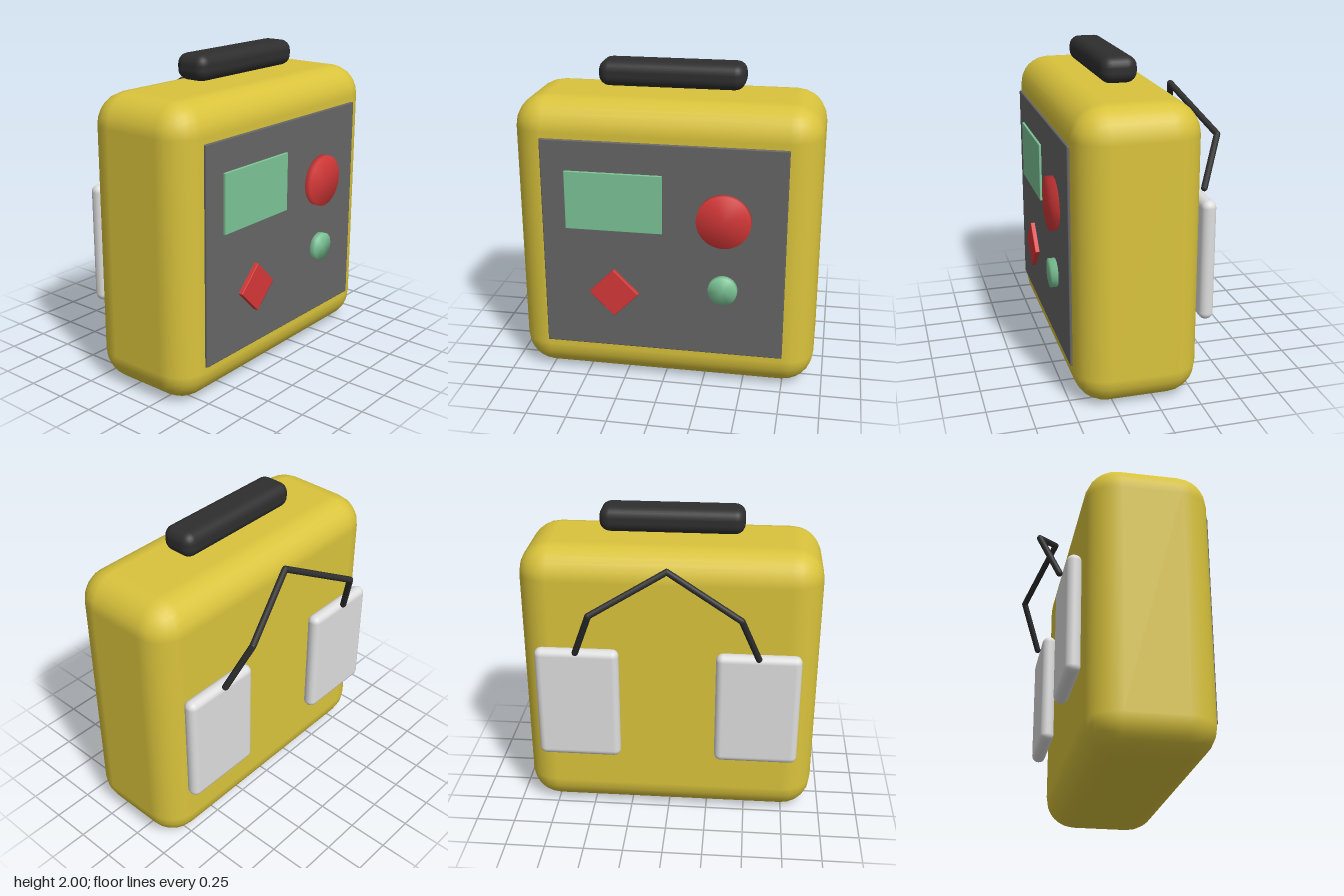
import * as THREE from 'three';
import { RoundedBoxGeometry } from 'three/addons/geometries/RoundedBoxGeometry.js';
import { mergeVertices } from 'three/addons/utils/BufferGeometryUtils.js';

const paint = (name, color) => {
  const m = new THREE.MeshStandardMaterial({ color });
  m.name = name;
  return m;
};

export function createModel() {
  const group = new THREE.Group();
  const yellow = paint('yellow', 0xd9c33c);
  const grey = paint('grey', 0x666666);
  const red = paint('red', 0xd63838);
  const green = paint('green', 0x7cc496);
  const black = paint('black', 0x2e2e2e);
  const white = paint('white', 0xdedede);

  const add = (name, geometry, material, x, y, z) => {
    const mesh = new THREE.Mesh(geometry, material);
    mesh.name = name;
    mesh.position.set(x, y, z);
    group.add(mesh);
    return mesh;
  };

  // Box given by its limits on each axis, with rounded edges
  const block = (name, material, [x0, x1], [y0, y1], [z0, z1], radius, segments) =>
    add(name, new RoundedBoxGeometry(x1 - x0, y1 - y0, z1 - z0, segments, radius),
      material, (x0 + x1) / 2, (y0 + y1) / 2, (z0 + z1) / 2);

  // Case and carrying handle
  block('case', yellow, [-0.94, 0.94], [0, 1.81], [-0.28, 0.475], 0.195, 3);
  block('handle', black, [-0.45, 0.45], [1.84, 2], [-0.015, 0.21], 0.065, 3);

  // Front panel with screen
  block('frontPanel', grey, [-0.75, 0.75], [0.23, 1.58], [0.44, 0.49], 0.007, 1);
  block('screen', green, [-0.6, 0], [1.02, 1.39], [0.47, 0.505], 0.004, 1);

  // Diamond button
  const diamond = block('diamondButton', red, [-0.414, -0.194], [0.499, 0.719], [0.47, 0.518], 0.004, 1);
  diamond.rotation.z = Math.PI / 4;

  // Round buttons: shared rim vertices give a soft, domed shading
  const button = (name, material, x, y, radius) => {
    const raw = new THREE.CylinderGeometry(radius, radius, 0.06, 40);
    raw.deleteAttribute('normal');
    raw.deleteAttribute('uv');
    const geometry = mergeVertices(raw);
    geometry.computeVertexNormals();
    geometry.rotateX(Math.PI / 2);
    add(name, geometry, material, x, y, 0.5);
  };
  button('largeButton', red, 0.375, 1.13, 0.165);
  button('smallButton', green, 0.375, 0.68, 0.09);

  // Two pads on the back
  for (const [side, s] of [['left', 1], ['right', -1]]) {
    block(`${side}Pad`, white, s > 0 ? [0.3, 0.825] : [-0.825, -0.3],
      [0.455, 1.205], [-0.385, -0.295], 0.043, 3);
  }

  // Cable joining the pads: straight runs with round joints
  const cable = new THREE.Group();
  cable.name = 'cable';
  group.add(cable);
  const points = [
    [-0.56, 1.205, -0.395], [-0.45, 1.505, -0.508], [0, 1.735, -0.355],
    [0.45, 1.505, -0.508], [0.56, 1.205, -0.395],
  ].map((p) => new THREE.Vector3(...p));
  const up = new THREE.Vector3(0, 1, 0);
  points.forEach((p, i) => {
    const joint = new THREE.Mesh(new THREE.SphereGeometry(0.02, 12, 8), black);
    joint.name = 'cableJoint';
    joint.position.copy(p);
    cable.add(joint);
    if (i === 0) return;
    const span = p.clone().sub(points[i - 1]);
    const run = new THREE.Mesh(new THREE.CylinderGeometry(0.02, 0.02, span.length(), 12), black);
    run.name = 'cableRun';
    run.position.copy(p).add(points[i - 1]).multiplyScalar(0.5);
    run.quaternion.setFromUnitVectors(up, span.normalize());
    cable.add(run);
  });

  return group;
}
